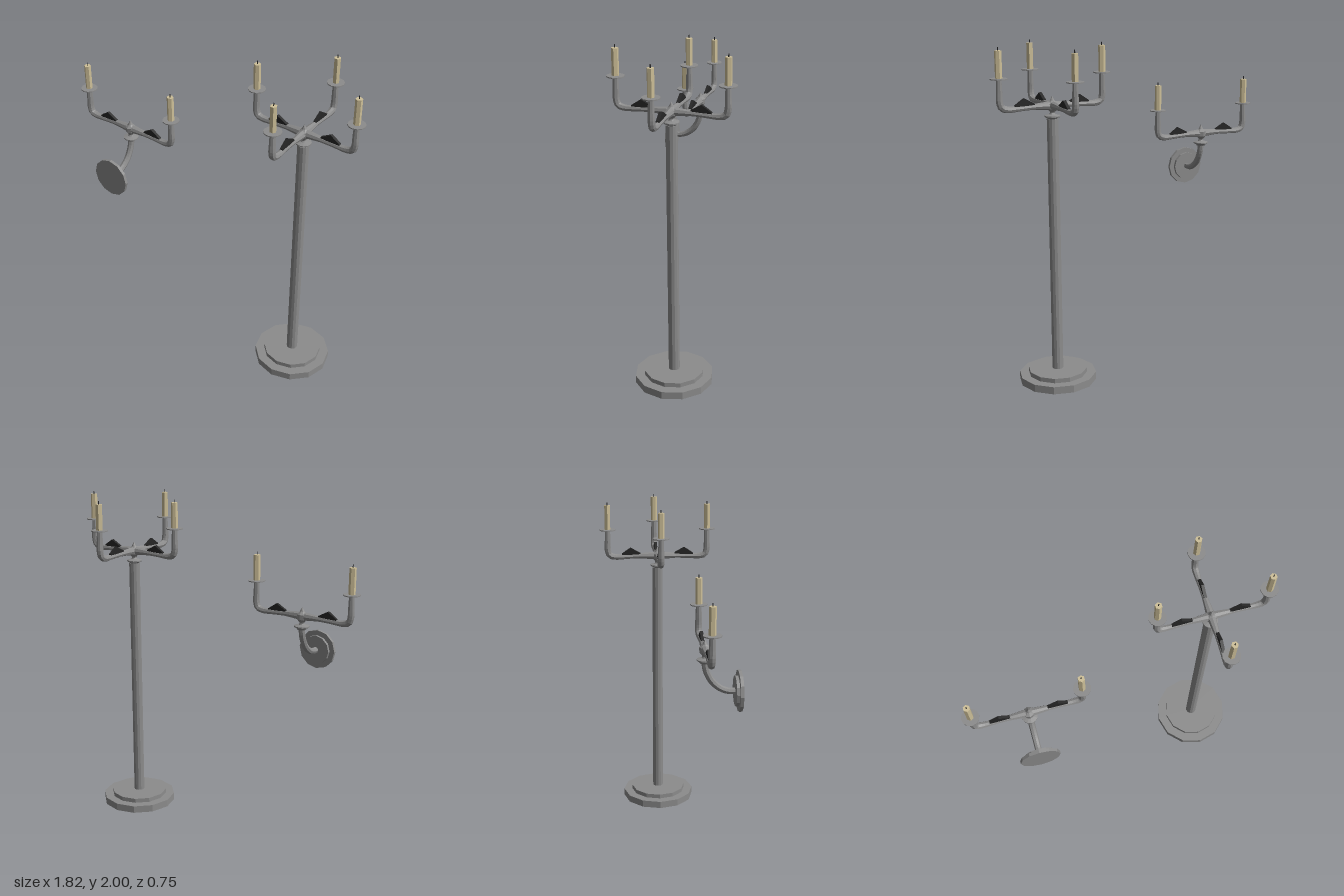
import * as THREE from 'three';

const material = (name, color, flat = false) => {
  const m = new THREE.MeshStandardMaterial({ color, flatShading: flat });
  m.name = name;
  return m;
};

export function createModel() {
  const iron = material('grey iron', 0x8c8c8c, true);
  const wax = material('candle wax', 0xcdbf98, true);
  const black = material('black', 0x262626, true);

  const add = (parent, name, geometry, mat, x = 0, y = 0, z = 0) => {
    const mesh = new THREE.Mesh(geometry, mat);
    mesh.name = name;
    mesh.position.set(x, y, z);
    parent.add(mesh);
    return mesh;
  };
  // Upright cylinder measured from its bottom and top heights
  const post = (parent, name, rTop, rBottom, y0, y1, sides, mat, x = 0) =>
    add(parent, name, new THREE.CylinderGeometry(rTop, rBottom, y1 - y0, sides), mat, x, (y0 + y1) / 2, 0);
  const lathe = (pts, sides) =>
    new THREE.LatheGeometry(pts.map(p => new THREE.Vector2(...p)), sides);

  // Tube whose radius follows a list of values along its length
  const taperedTube = (points, radii, steps, sides) => {
    const curve = new THREE.CatmullRomCurve3(points.map(p => new THREE.Vector3(...p)));
    const geometry = new THREE.TubeGeometry(curve, steps, 1, sides);
    const pos = geometry.attributes.position;
    const v = new THREE.Vector3();
    for (let i = 0; i < pos.count; i++) {
      const t = Math.floor(i / (sides + 1)) / steps;
      const f = t * (radii.length - 1);
      const k = Math.min(Math.floor(f), radii.length - 2);
      const r = THREE.MathUtils.lerp(radii[k], radii[k + 1], f - k);
      const c = curve.getPointAt(t);
      v.fromBufferAttribute(pos, i).sub(c).multiplyScalar(r).add(c);
      pos.setXYZ(i, v.x, v.y, v.z);
    }
    geometry.computeVertexNormals();
    return geometry;
  };

  // Arm running out along +x, with fin, drip plate, candle and wick
  const armGeometry = taperedTube(
    [[0, 0, 0], [0.1, 0, 0], [0.2, -0.004, 0], [0.27, -0.004, 0], [0.302, 0.008, 0],
      [0.313, 0.04, 0], [0.313, 0.1, 0], [0.313, 0.168, 0]],
    [0.026, 0.021, 0.016, 0.015, 0.017, 0.02, 0.02, 0.018, 0.016], 24, 8);
  const finShape = new THREE.Shape([[0.108, 0.01], [0.225, 0.008], [0.225, 0.015], [0.17, 0.052], [0.108, 0.018]]
    .map(p => new THREE.Vector2(...p)));
  const finGeometry = new THREE.ExtrudeGeometry(finShape, { depth: 0.018, bevelEnabled: false });
  finGeometry.translate(0, 0, -0.009);

  const makeArm = () => {
    const arm = new THREE.Group();
    arm.name = 'candleArm';
    add(arm, 'armTube', armGeometry, iron);
    add(arm, 'fin', finGeometry, black);
    post(arm, 'dripPlate', 0.05, 0.05, 0.165, 0.171, 12, iron, 0.313);
    post(arm, 'candle', 0.02, 0.02, 0.17, 0.322, 6, wax, 0.313);
    post(arm, 'wick', 0.003, 0.003, 0.32, 0.34, 4, black, 0.313);
    return arm;
  };

  // Pointed hub on a collar, carrying evenly spaced arms
  const makeCrown = count => {
    const crown = new THREE.Group();
    crown.name = 'candleCrown';
    for (let i = 0; i < count; i++) {
      const arm = makeArm();
      arm.rotation.y = (i * Math.PI * 2) / count;
      crown.add(arm);
    }
    add(crown, 'hub', lathe([[0, -0.055], [0.012, -0.05], [0.016, -0.035], [0.03, -0.018],
      [0.032, 0.012], [0.014, 0.028], [0, 0.056]], 8), iron);
    add(crown, 'collar', lathe([[0, -0.08], [0.026, -0.08], [0.03, -0.072], [0.045, -0.064],
      [0.045, -0.057], [0.018, -0.05], [0.01, -0.035], [0, -0.035]], 12), iron);
    return crown;
  };

  // Floor candelabrum
  const floor = new THREE.Group();
  floor.name = 'floorCandelabrum';
  floor.position.set(0.545, 0, -0.01);
  post(floor, 'lowerBase', 0.23, 0.23, 0, 0.045, 12, iron);
  post(floor, 'upperBase', 0.175, 0.175, 0.045, 0.072, 12, iron);
  post(floor, 'pole', 0.033, 0.033, 0.07, 1.585, 12, iron);
  const floorCrown = makeCrown(4);
  floorCrown.position.y = 1.66;
  floor.add(floorCrown);

  // Wall sconce, its mounting plate on the +z side
  const sconce = new THREE.Group();
  sconce.name = 'wallSconce';
  sconce.position.set(-0.55, 0, 0.167);
  const sconceCrown = makeCrown(2);
  sconceCrown.position.y = 1.375;
  sconce.add(sconceCrown);
  add(sconce, 'bracket', taperedTube(
    [[0, 1.305, 0], [0, 1.255, 0.008], [0, 1.195, 0.037], [0, 1.15, 0.085], [0, 1.131, 0.135], [0, 1.13, 0.18]],
    [0.019, 0.019], 14, 8), iron);
  add(sconce, 'innerPlate', new THREE.CylinderGeometry(0.087, 0.087, 0.018, 12), iron, 0, 1.13, 0.179)
    .rotation.x = Math.PI / 2;
  add(sconce, 'wallPlate', new THREE.CylinderGeometry(0.118, 0.118, 0.018, 12), iron, 0, 1.13, 0.196)
    .rotation.x = Math.PI / 2;

  const model = new THREE.Group();
  model.name = 'candelabra';
  model.add(floor, sconce);
  return model;
}
